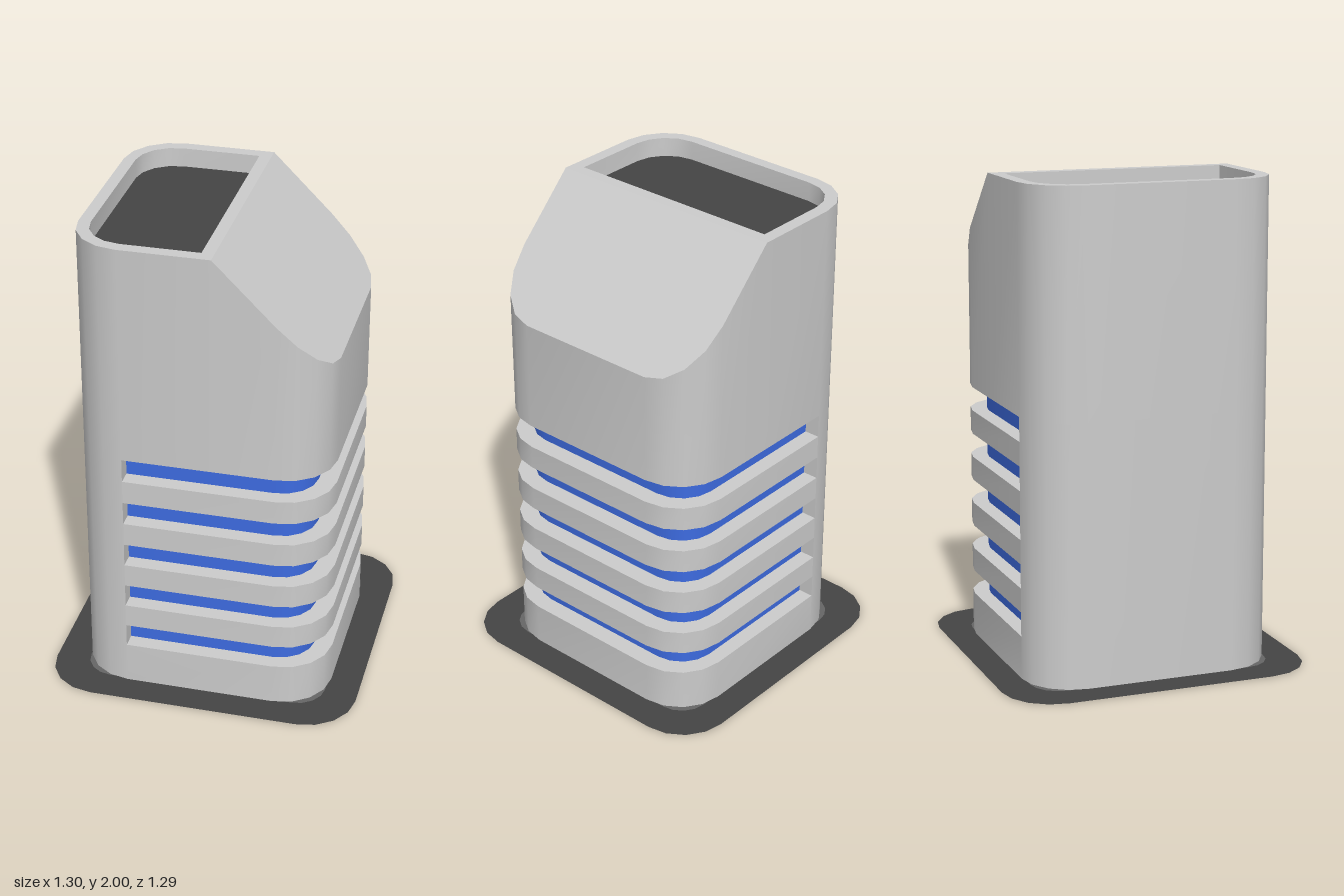
import * as THREE from 'three';
import { mergeGeometries, toCreasedNormals } from 'three/addons/utils/BufferGeometryUtils.js';

const SEGMENTS = 4; // facets per rounded corner

// Counter-clockwise plan outline, with separate radii for its left and right corners
function outline(x0, x1, h, rLeft, rRight) {
  const points = [];
  const corners = [[x1, -h, rRight, -1, 1], [x1, h, rRight, -1, -1], [x0, h, rLeft, 1, -1], [x0, -h, rLeft, 1, 1]];
  corners.forEach(([x, y, r, sx, sy], i) => {
    if (r === 0) return points.push(new THREE.Vector2(x, y));
    for (let k = 0; k <= SEGMENTS; k++) {
      const a = (i - 1 + k / SEGMENTS) * Math.PI / 2;
      points.push(new THREE.Vector2(x + sx * r + r * Math.cos(a), y + sy * r + r * Math.sin(a)));
    }
  });
  return points;
}

// Vertical wall around an outline; its top height may depend on x
function wall(points, y0, topAt) {
  const pos = [];
  points.forEach((a, i) => {
    const b = points[(i + 1) % points.length];
    const a0 = [a.x, y0, -a.y], b0 = [b.x, y0, -b.y];
    const a1 = [a.x, topAt(a.x), -a.y], b1 = [b.x, topAt(b.x), -b.y];
    pos.push(...a0, ...b0, ...b1, ...a0, ...b1, ...a1);
  });
  return new THREE.BufferGeometry().setAttribute('position', new THREE.Float32BufferAttribute(pos, 3));
}

// Horizontal or sloping face filling an outline
function cap(points, yAt, { hole = null, down = false } = {}) {
  const shape = new THREE.Shape(points);
  if (hole) shape.holes.push(new THREE.Path(hole));
  const geo = new THREE.ShapeGeometry(shape).toNonIndexed();
  geo.rotateX(down ? Math.PI / 2 : -Math.PI / 2);
  geo.deleteAttribute('uv');
  geo.deleteAttribute('normal');
  const p = geo.attributes.position;
  for (let i = 0; i < p.count; i++) p.setY(i, yAt(p.getX(i)));
  return geo;
}

const level = (y) => () => y;

function part(name, geometries, color, side = THREE.FrontSide) {
  const geo = toCreasedNormals(mergeGeometries(geometries), 0.6);
  const mesh = new THREE.Mesh(geo, new THREE.MeshStandardMaterial({ color, side }));
  mesh.name = name;
  return mesh;
}

export function createModel() {
  const group = new THREE.Group();
  const GREY = 0xcccccc, DARK = 0x444444, BLUE = 0x3d6be0;
  const H = 0.52, R = 0.21, SPLIT = -0.31, RIDGE = 0.06, SLOTS_TOP = 1.08;
  const full = outline(-H, H, H, R, R);

  // Lower casing: solid spine with bands wrapping the other three sides
  const spine = outline(-H, SPLIT, H, R, 0);
  const band = outline(SPLIT, H, H, 0, R);
  const casing = [wall(spine, 0, level(SLOTS_TOP)), cap(full, level(0), { down: true })];
  for (let i = 0; i < 5; i++) {
    const y0 = i === 0 ? 0 : 0.08 + i * 0.2;
    const y1 = 0.18 + i * 0.2;
    casing.push(wall(band, y0, level(y1)), cap(band, level(y1)));
    if (i > 0) casing.push(cap(band, level(y0), { down: true }));
  }
  casing.push(cap(band, level(SLOTS_TOP), { down: true }));

  // Upper casing: flat rim, sloping shoulder and a shallow recess
  const left = outline(-H, RIDGE, H, R, 0);
  const right = outline(RIDGE, H, H, 0, R);
  const upper = [...right.slice(0, -1), ...left.slice(2), left[0]];
  const recess = outline(-0.47, 0.01, 0.467, 0.16, 0);
  const slope = (x) => Math.min(2, 2 + RIDGE - x);
  casing.push(
    wall(upper, SLOTS_TOP, slope),
    cap(left, level(2), { hole: recess }),
    cap(right, slope),
    wall([...recess].reverse(), 1.92, level(2)),
  );
  group.add(part('casing', casing, GREY));

  // Dark panel at the bottom of the recess
  group.add(part('recessPanel', [cap(recess, level(1.92))], DARK));

  // Blue core showing through the slots
  const core = outline(SPLIT - 0.02, 0.445, 0.455, 0, 0.15);
  group.add(part('innerCore', [wall(core, 0.1, level(1.1))], BLUE));

  // Flat ground flange and the sheet that fills its opening
  const opening = outline(-0.51, 0.51, 0.51, 0.12, 0.12);
  const flange = outline(-0.648, 0.648, 0.645, R, R);
  group.add(part('groundFlange', [cap(flange, level(0.002), { hole: opening })], DARK, THREE.DoubleSide));
  group.add(part('flangeInfill', [cap(opening, level(0.002))], 0x666666, THREE.DoubleSide));

  return group;
}
